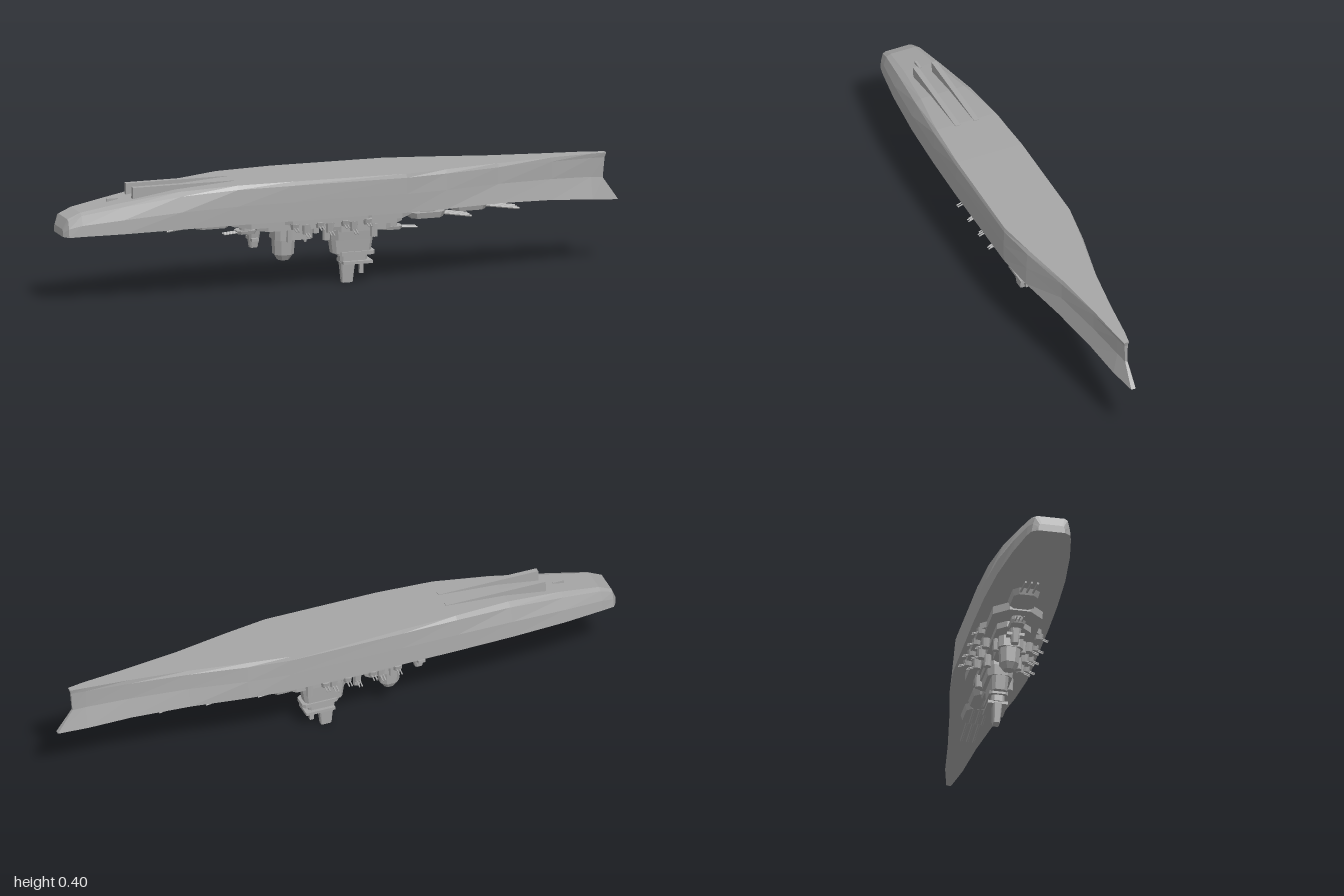
import * as THREE from 'three';

const grey = new THREE.MeshStandardMaterial({ color: 0xa6a6a6, flatShading: true });
grey.name = 'hull grey';

// Hull lofted from cross-sections: deck underneath, keel on top
function hullGeometry() {
  // x, deck y, keel y, half-widths at deck, middle and keel
  const stations = [
    [-1.0, 0.24, 0.265, 0.045, 0.045, 0.035],
    [-0.985, 0.24, 0.3, 0.066, 0.062, 0.045],
    [-0.94, 0.243, 0.32, 0.076, 0.072, 0.045],
    [-0.8, 0.247, 0.345, 0.097, 0.092, 0.055],
    [-0.6, 0.253, 0.375, 0.116, 0.113, 0.08],
    [-0.4, 0.256, 0.389, 0.125, 0.123, 0.108],
    [-0.2, 0.256, 0.391, 0.128, 0.126, 0.118],
    [0.2, 0.256, 0.389, 0.127, 0.125, 0.119],
    [0.35, 0.255, 0.388, 0.112, 0.107, 0.095],
    [0.55, 0.252, 0.386, 0.078, 0.066, 0.058],
    [0.75, 0.242, 0.385, 0.048, 0.034, 0.032],
    [0.9, 0.228, 0.384, 0.03, 0.013, 0.017],
    [1.0, 0.217, 0.382, 0.008, 0.004, 0.009],
  ];
  const rings = stations.map(([x, yd, yk, wd, wm, wk], i) => {
    const h = yk - yd, bow = i === stations.length - 1; // the stem curves back above the deck
    const half = [
      [x, yd, wd],
      [bow ? 0.945 : x, yd + h * 0.48, wm],
      [bow ? 0.95 : x, yk - h * 0.1, wk + (wm - wk) * 0.6],
      [bow ? 0.955 : x, yk, wk],
    ];
    return [...half, ...half.slice().reverse().map(([a, b, c]) => [a, b, -c])];
  });
  const pos = [];
  const quad = (a, b, c, d) => pos.push(...a, ...b, ...c, ...a, ...c, ...d);
  for (let i = 0; i < rings.length - 1; i++) {
    const p = rings[i], q = rings[i + 1];
    for (let j = 0; j < 8; j++) {
      const k = (j + 1) % 8;
      quad(p[j], q[j], q[k], p[k]);
    }
  }
  const s = rings[0], e = rings[rings.length - 1];
  for (let k = 0; k < 3; k++) {
    quad(s[k], s[k + 1], s[6 - k], s[7 - k]);
    quad(e[7 - k], e[6 - k], e[k + 1], e[k]);
  }
  const g = new THREE.BufferGeometry();
  g.setAttribute('position', new THREE.Float32BufferAttribute(pos, 3));
  g.computeVertexNormals();
  return g;
}

export function createModel() {
  const model = new THREE.Group();
  model.name = 'overturnedBattleship';
  const ship = new THREE.Group();
  ship.name = 'ship';
  model.add(ship);

  const add = (name, geo) => {
    const m = new THREE.Mesh(geo, grey);
    m.name = name;
    ship.add(m);
    return m;
  };
  const box = (name, x0, x1, y0, y1, z0, z1) =>
    add(name, new THREE.BoxGeometry(x1 - x0, y1 - y0, z1 - z0))
      .position.set((x0 + x1) / 2, (y0 + y1) / 2, (z0 + z1) / 2);

  // Slab with cut corners; the lower end can be tapered about its middle
  const slab = (name, x0, x1, y0, y1, w, cut, taper = 1, z = 0) => {
    const l = (x1 - x0) / 2;
    const pts = [[l, w - cut], [l - cut, w], [cut - l, w], [-l, w - cut],
      [-l, cut - w], [cut - l, -w], [l - cut, -w], [l, cut - w]];
    const g = new THREE.ExtrudeGeometry(
      new THREE.Shape(pts.map((p) => new THREE.Vector2(...p))), { depth: y1 - y0, bevelEnabled: false });
    g.rotateX(Math.PI / 2); // extrusion runs downward
    const p = g.attributes.position;
    for (let i = 0; i < p.count; i++) {
      if (p.getY(i) < (y0 - y1) / 2) p.setXYZ(i, p.getX(i) * taper, p.getY(i), p.getZ(i) * taper);
    }
    g.computeVertexNormals();
    add(name, g).position.set((x0 + x1) / 2, y1, z);
  };
  const rod = (name, a, b, r, sides = 6) => {
    const A = new THREE.Vector3(...a), d = new THREE.Vector3(...b).sub(A);
    const m = add(name, new THREE.CylinderGeometry(r, r, d.length(), sides));
    m.position.copy(A).addScaledVector(d, 0.5);
    m.quaternion.setFromUnitVectors(new THREE.Vector3(0, 1, 0), d.normalize());
  };
  const drum = (name, x, z, r, y0, y1, sides = 12, rLow = r) =>
    add(name, new THREE.CylinderGeometry(r, rLow, y1 - y0, sides)).position.set(x, (y0 + y1) / 2, z);

  // Triple gun turret pointing along dir
  const turret = (name, x, y, dir, size, reach, drop) => {
    slab(name, x - size, x + size, y - size * 0.32, y, size * 0.72, size * 0.3, 0.88);
    drum(name + 'Barbette', x, 0, size * 0.6, y, 0.258);
    for (const k of [-1, 0, 1]) {
      const z = k * size * 0.32, yb = y - size * 0.16;
      rod(name + 'Barrel', [x + dir * size * 0.8, yb, z], [x + dir * reach, yb - drop, z], size * 0.065);
    }
  };

  add('hull', hullGeometry());
  // Twin skegs beneath the stern
  for (const s of [-1, 1]) {
    box('skeg', -0.75, -0.39, 0.33, 0.391, s * 0.034 - 0.009, s * 0.034 + 0.009);
  }
  // Rudder stub
  box('rudder', -0.83, -0.79, 0.33, 0.35, -0.004, 0.004);

  // Main battery and secondary turrets
  turret('forwardTurret', 0.46, 0.246, 1, 0.065, 0.18, 0.02);
  turret('raisedTurret', 0.31, 0.23, 1, 0.065, 0.16, 0.018);
  turret('aftTurret', -0.46, 0.248, -1, 0.065, 0.16, 0.012);
  turret('forwardSecondaryTurret', 0.19, 0.185, 1, 0.036, 0.09, 0.004);
  turret('aftSecondaryTurret', -0.33, 0.207, -1, 0.036, 0.08, 0.004);

  // Stepped deckhouses
  slab('lowerDeckhouse', -0.39, 0.25, 0.228, 0.257, 0.085, 0.05);
  slab('sideGunDeck', -0.23, 0.1, 0.235, 0.257, 0.105, 0.03);
  slab('middleDeckhouse', -0.3, 0.22, 0.207, 0.23, 0.058, 0.03);
  slab('bridgeDeck', -0.03, 0.18, 0.185, 0.21, 0.05, 0.025);
  slab('funnelDeck', -0.235, -0.1, 0.168, 0.21, 0.042, 0.015);

  // Funnel with a domed cap
  slab('funnel', -0.232, -0.158, 0.115, 0.17, 0.034, 0.018, 0.9);
  slab('funnelCap', -0.226, -0.164, 0.095, 0.116, 0.03, 0.015, 0.6);
  rod('mainMast', [-0.14, 0.21, 0], [-0.115, 0.15, 0], 0.005);

  // Aft control tower
  slab('aftTower', -0.325, -0.28, 0.145, 0.208, 0.02, 0.008, 0.6);
  box('aftRangefinder', -0.318, -0.292, 0.17, 0.18, -0.03, 0.03);

  // Bridge tower and mast
  slab('bridgeBase', -0.035, 0.125, 0.155, 0.19, 0.044, 0.02, 0.95);
  slab('bridgeTower', -0.03, 0.12, 0.105, 0.157, 0.029, 0.012, 0.9);
  slab('bridgePlatform', -0.005, 0.125, 0.097, 0.11, 0.032, 0.01);
  slab('upperBridge', 0.005, 0.1, 0.075, 0.1, 0.022, 0.008);
  box('rangefinder', 0.01, 0.115, 0.067, 0.077, -0.034, 0.034);
  slab('mast', 0.008, 0.06, 0, 0.07, 0.015, 0.004, 0.72);
  box('lookoutPost', 0.078, 0.092, 0.028, 0.07, -0.007, 0.007);

  // Side batteries, mirrored port and starboard
  for (const s of [-1, 1]) {
    for (const x of [-0.19, -0.1, -0.01, 0.07]) {
      drum('sideGunMount', x, s * 0.098, 0.017, 0.22, 0.24, 8, 0.013);
      for (const d of [-0.005, 0.005]) {
        rod('sideGunBarrel', [x + d, 0.228, s * 0.1], [x + d, 0.218, s * 0.13], 0.0025);
      }
    }
    for (const x of [-0.14, -0.055, 0.03]) {
      drum('upperGunMount', x, s * 0.073, 0.016, 0.195, 0.23, 8, 0.013);
      for (const d of [-0.005, 0.005]) {
        rod('upperGunBarrel', [x + d, 0.203, s * 0.075], [x + d, 0.19, s * 0.108], 0.0025);
      }
    }
    for (const x of [-0.06, 0.11]) drum('director', x, s * 0.052, 0.013, 0.165, 0.21, 8);
    drum('searchlight', -0.19, s * 0.046, 0.011, 0.165, 0.21, 8);
  }

  // Slight list of the whole ship
  ship.position.y = 0.25;
  for (const m of ship.children) m.position.y -= 0.25;
  ship.rotation.x = 0.035;
  return model;
}
